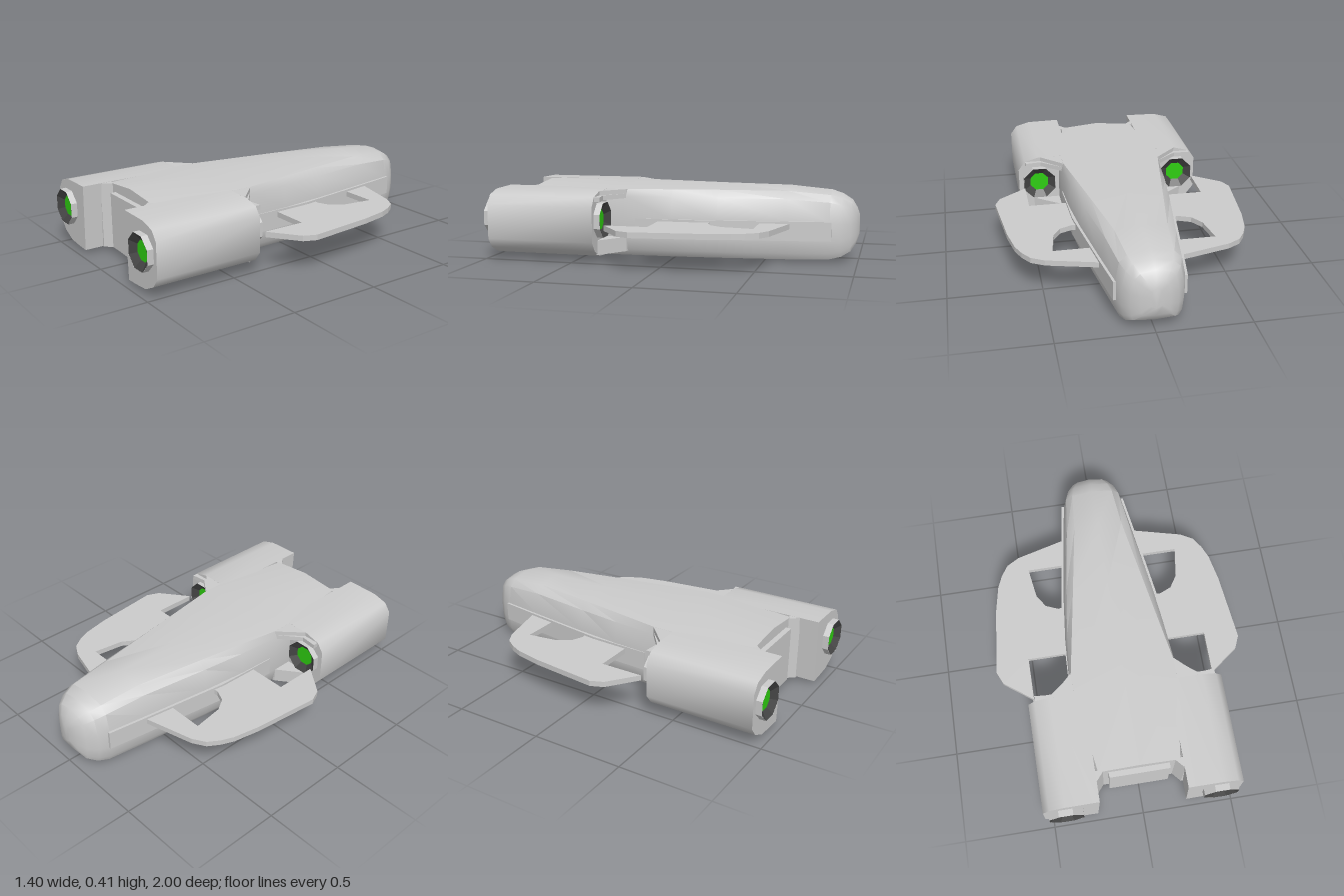
import * as THREE from 'three';
import { toCreasedNormals } from 'three/addons/utils/BufferGeometryUtils.js';

const paint = (color) => new THREE.MeshStandardMaterial({ color, side: THREE.DoubleSide });
const grey = paint(0xcccccc);
const dark = paint(0x444444);
const green = paint(0x2ecc11);

function part(group, name, geometry, material = grey) {
  const mesh = new THREE.Mesh(geometry, material);
  mesh.name = name;
  group.add(mesh);
  return mesh;
}

const shapeOf = (pts) => new THREE.Shape(pts.map(([x, y]) => new THREE.Vector2(x, y)));

// Flat plate from a plan outline of [x, z] points, between two heights
function plate(pts, y0, y1) {
  const g = new THREE.ExtrudeGeometry(shapeOf(pts.map(([x, z]) => [x, -z])), {
    depth: y1 - y0, bevelEnabled: false,
  });
  return g.rotateX(-Math.PI / 2).translate(0, y0, 0);
}

// Fuselage lofted through stations: z, side width, deck width, bottom, top
function hullGeometry() {
  const stations = [
    [-1, 0.03, 0.015, 0.14, 0.25],
    [-0.985, 0.075, 0.045, 0.09, 0.29],
    [-0.96, 0.12, 0.075, 0.05, 0.33],
    [-0.91, 0.157, 0.1, 0.02, 0.362],
    [-0.85, 0.178, 0.118, 0.006, 0.382],
    [-0.62, 0.21, 0.138, 0, 0.402],
    [-0.25, 0.262, 0.2, 0, 0.405],
    [0, 0.288, 0.242, 0, 0.405],
    [0.25, 0.3, 0.285, 0, 0.405],
    [0.37, 0.3, 0.285, 0, 0.405],
    [0.81, 0.25, 0.22, 0, 0.405],
  ];
  const positions = [], index = [];
  for (const [z, w, deck, yb, yt] of stations) {
    const half = [
      [0, 0], [w * 0.86, 0.03], [w * 0.96, 0.12], [w, 0.3],
      [w, 0.56], [w * 0.65 + deck * 0.35, 0.85], [deck, 0.95], [0, 1],
    ];
    const mirrored = half.slice(1, -1).reverse().map(([x, t]) => [-x, t]);
    for (const [x, t] of [...half, ...mirrored]) positions.push(x, yb + t * (yt - yb), z);
  }
  const n = 14, last = (stations.length - 1) * n;
  for (let i = 0; i < stations.length - 1; i++) {
    for (let j = 0; j < n; j++) {
      const a = i * n + j, b = i * n + (j + 1) % n;
      index.push(a, b, b + n, a, b + n, a + n);
    }
  }
  for (let j = 1; j < n - 1; j++) {
    index.push(0, j + 1, j, last, last + j, last + j + 1);
  }
  const g = new THREE.BufferGeometry();
  g.setAttribute('position', new THREE.Float32BufferAttribute(positions, 3));
  g.setIndex(index);
  return toCreasedNormals(g, 0.6);
}

// Eight-sided engine mouth opening toward +z, with a recessed glowing core
function engineMouth(name) {
  const group = new THREE.Group();
  group.name = name;
  const ring = (r0, r1, length) =>
    new THREE.CylinderGeometry(r1, r0, length, 8, 1, true, Math.PI / 8)
      .rotateX(Math.PI / 2).toNonIndexed();
  const flat = (g) => { g.computeVertexNormals(); return g; };
  part(group, 'mouthRim', flat(ring(0.101, 0.101, 0.05)).translate(0, 0, -0.025));
  part(group, 'mouthFunnel', flat(ring(0.056, 0.1, 0.03)).translate(0, 0, -0.015), dark);
  part(group, 'engineGlow',
    new THREE.CircleGeometry(0.058, 8, Math.PI / 8).translate(0, 0, -0.029), green);
  return group;
}

// Everything on one side; s is +1 or -1
function buildSide(s) {
  const side = new THREE.Group();
  side.name = s > 0 ? 'leftSide' : 'rightSide';
  const flip = (pts) => pts.map(([x, v]) => [x * s, v]);

  // Engine pod with a rounded outer side
  const podProfile = flip([
    [0.25, 0.02], [0.32, 0.022], [0.42, 0.03], [0.5, 0.068], [0.54, 0.12],
    [0.54, 0.31], [0.503, 0.36], [0.42, 0.383], [0.235, 0.386],
  ]);
  const pod = new THREE.ExtrudeGeometry(shapeOf(podProfile), { depth: 0.6, bevelEnabled: false });
  part(side, 'enginePod', toCreasedNormals(pod.translate(0, 0, 0.365), 0.75));

  // Slanted corner of the rear recess
  part(side, 'recessCorner',
    plate(flip([[0.195, 0.8], [0.195, 0.81], [0.238, 0.86], [0.26, 0.86], [0.26, 0.8]]), 0.02, 0.385));

  // Fairings above and below the front intake
  part(side, 'upperFairing',
    plate(flip([[0.25, 0.23], [0.29, 0.25], [0.41, 0.345], [0.5, 0.335], [0.5, 0.37], [0.25, 0.37]]), 0.335, 0.36));
  part(side, 'deckFairing',
    plate(flip([[0.25, 0.23], [0.29, 0.25], [0.41, 0.365], [0.25, 0.37]]), 0.345, 0.384));
  part(side, 'lowerFairing',
    plate(flip([[0.25, 0.24], [0.3, 0.25], [0.46, 0.37], [0.25, 0.37]]), 0.04, 0.12));

  // Rear nozzle and front intake
  const nozzle = engineMouth('rearNozzle');
  nozzle.position.set(0.42 * s, 0.23, 1);
  const intake = engineMouth('frontIntake');
  intake.position.set(0.42 * s, 0.23, 0.33);
  intake.rotation.y = Math.PI;
  side.add(nozzle, intake);

  // Raised panel along the hull flank
  part(side, 'flankPanel', plate(flip([
    [0.12, -0.86], [0.188, -0.86], [0.221, -0.64], [0.29, -0.15], [0.302, 0.2], [0.25, 0.2],
  ]), 0.12, 0.225));

  // Thin curved wing, open between its front arm and its root
  part(side, 'wing', plate(flip([
    [0.15, -0.62], [0.22, -0.64], [0.49, -0.57], [0.56, -0.53], [0.6, -0.47], [0.63, -0.4],
    [0.66, -0.25], [0.7, 0.12], [0.67, 0.19], [0.51, 0.31], [0.51, 0.07],
    [0.2, 0.07], [0.2, -0.23], [0.3, -0.21], [0.37, -0.24], [0.415, -0.31],
    [0.44, -0.48], [0.15, -0.48],
  ]), 0.183, 0.213));
  return side;
}

export function createModel() {
  const model = new THREE.Group();
  model.name = 'spaceShuttle';
  part(model, 'hull', hullGeometry());
  part(model, 'rearHatch', new THREE.BoxGeometry(0.33, 0.31, 0.06)).position.set(0, 0.19, 0.81);
  model.add(buildSide(1), buildSide(-1));
  return model;
}
